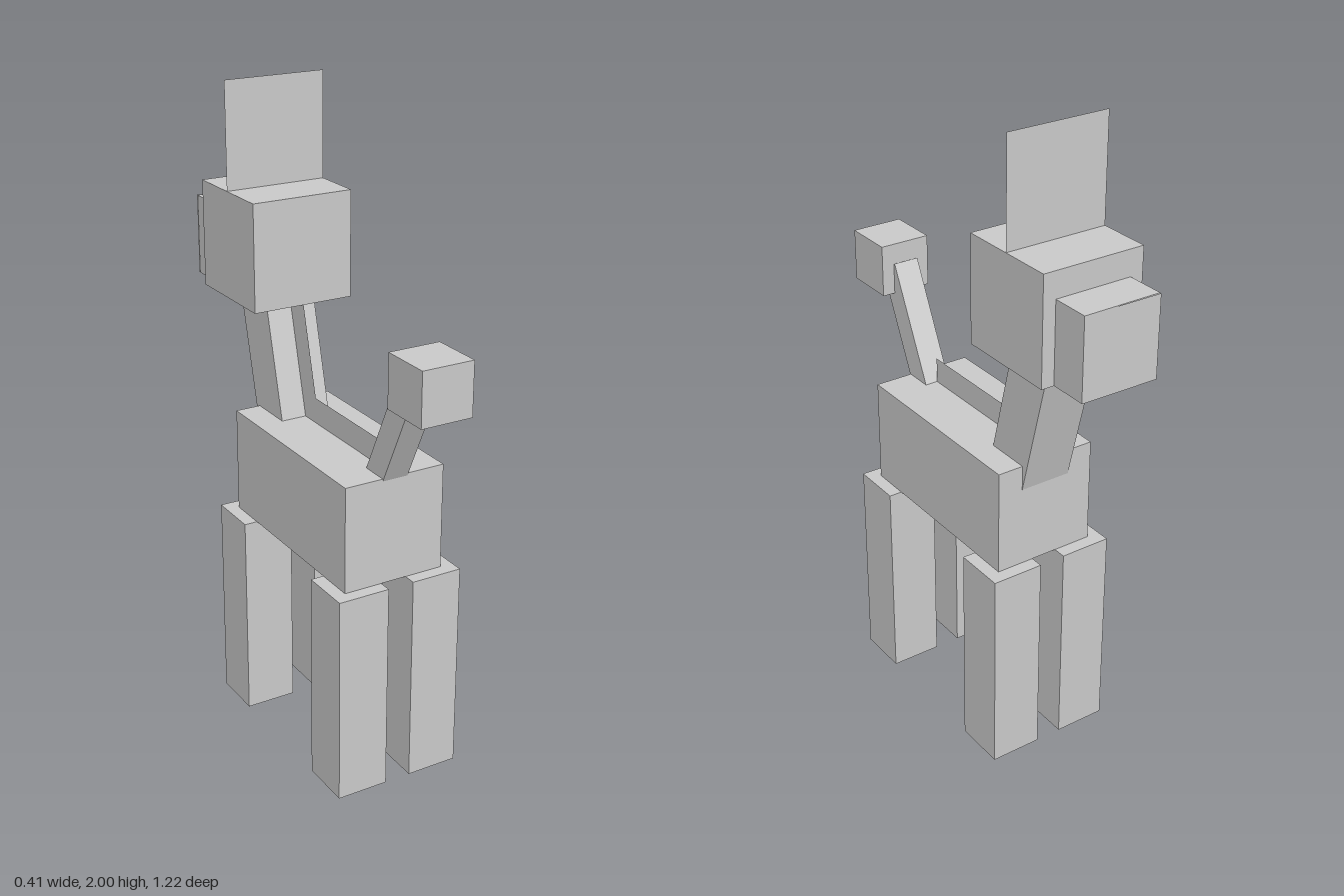
import * as THREE from 'three';

const material = new THREE.MeshStandardMaterial({ color: 0xcccccc, flatShading: true });
const thinMaterial = new THREE.MeshStandardMaterial({ color: 0xcccccc, side: THREE.DoubleSide });

export function createModel() {
  const model = new THREE.Group();

  // Box given by its centre, size and tilt about x
  const box = (name, [x, y, z], [w, h, d], tilt = 0) => {
    const mesh = new THREE.Mesh(new THREE.BoxGeometry(w, h, d), material);
    mesh.name = name;
    mesh.position.set(x, y, z);
    mesh.rotation.x = tilt;
    model.add(mesh);
  };

  // Flat upright sheet
  const sheet = (name, [x, y, z], [w, h], [rx, ry] = [0, 0]) => {
    const mesh = new THREE.Mesh(new THREE.PlaneGeometry(w, h), thinMaterial);
    mesh.name = name;
    mesh.position.set(x, y, z);
    mesh.rotation.set(rx, ry, 0);
    model.add(mesh);
  };

  // Body and four legs
  box('body', [0, 0.825, 0.035], [0.326, 0.33, 0.656]);
  for (const side of [1, -1]) {
    const label = side > 0 ? 'left' : 'right';
    box(label + 'FrontLeg', [side * 0.123, 0.33, 0.322], [0.163, 0.66, 0.164]);
    box(label + 'BackLeg', [side * 0.123, 0.33, -0.253], [0.163, 0.66, 0.164]);
  }

  // Leaning neck
  const lean = -THREE.MathUtils.degToRad(14.5);
  box('neck', [0, 1.15, -0.272], [0.163, 0.54, 0.16], lean);

  // Head, snout and upright crest
  box('head', [0, 1.51, -0.32], [0.326, 0.33, 0.328]);
  box('snout', [0, 1.47, -0.543], [0.245, 0.25, 0.122]);
  sheet('nosePanel', [0, 1.47, -0.607], [0.245, 0.25], [0, -0.015]);
  sheet('crest', [0, 1.835, -0.32], [0.326, 0.33]);

  // Thin mane along the back and up the neck
  sheet('backMane', [0, 1.03, 0.055], [0.44, 0.08], [0, Math.PI / 2]);
  sheet('neckMane', [0, 1.2, -0.161], [0.083, 0.46], [lean, Math.PI / 2]);

  // Tail with a square tuft
  const tailTilt = THREE.MathUtils.degToRad(25.5);
  box('tail', [0, 1.14, 0.392], [0.082, 0.4, 0.083], tailTilt);
  box('tailTuft', [0, 1.32, 0.527], [0.163, 0.163, 0.164]);

  return model;
}
